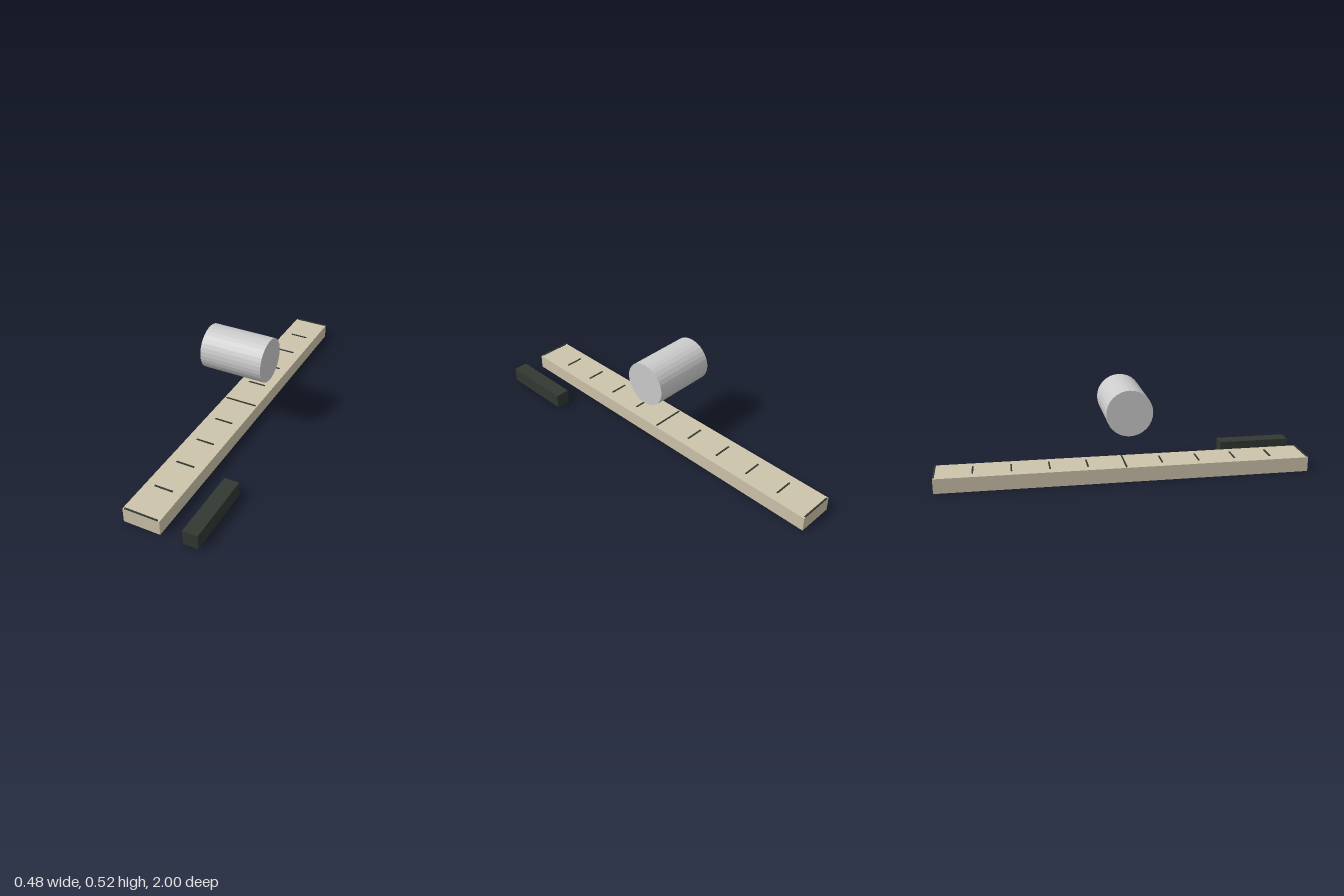
import * as THREE from 'three';

export function createModel() {
  const group = new THREE.Group();
  const material = (color) => new THREE.MeshStandardMaterial({ color, flatShading: true });
  const sand = material(0xccc3aa);
  const dark = material(0x323832);
  const grey = material(0xcccccc);
  const trackX = -0.063;

  const add = (name, geometry, mat, x, y, z, parent = group) => {
    const mesh = new THREE.Mesh(geometry, mat);
    mesh.name = name;
    mesh.position.set(x, y, z);
    parent.add(mesh);
    return mesh;
  };

  // Long flat track
  add('track', new THREE.BoxGeometry(0.2, 0.08, 2), sand, trackX, 0.04, 0);

  // Scale marks across the track: long at the ends and middle, short between
  const marks = new THREE.Group();
  marks.name = 'scaleMarks';
  group.add(marks);
  for (let i = -5; i <= 5; i++) {
    const width = i % 5 === 0 ? 0.18 : 0.1;
    const z = THREE.MathUtils.clamp(i * 0.2, -0.996, 0.996);
    add('scaleMark', new THREE.BoxGeometry(width, 0.004, 0.008), dark, trackX, 0.082, z, marks);
  }

  // Roller floating crosswise above the track
  const rollerGeometry = new THREE.CylinderGeometry(0.12, 0.12, 0.35, 32).rotateZ(Math.PI / 2);
  add('roller', rollerGeometry, grey, -0.064, 0.4, 0);

  // Loose bar beside the front end
  add('sideBar', new THREE.BoxGeometry(0.08, 0.08, 0.4), dark, 0.197, 0.04, 0.8);

  return group;
}
